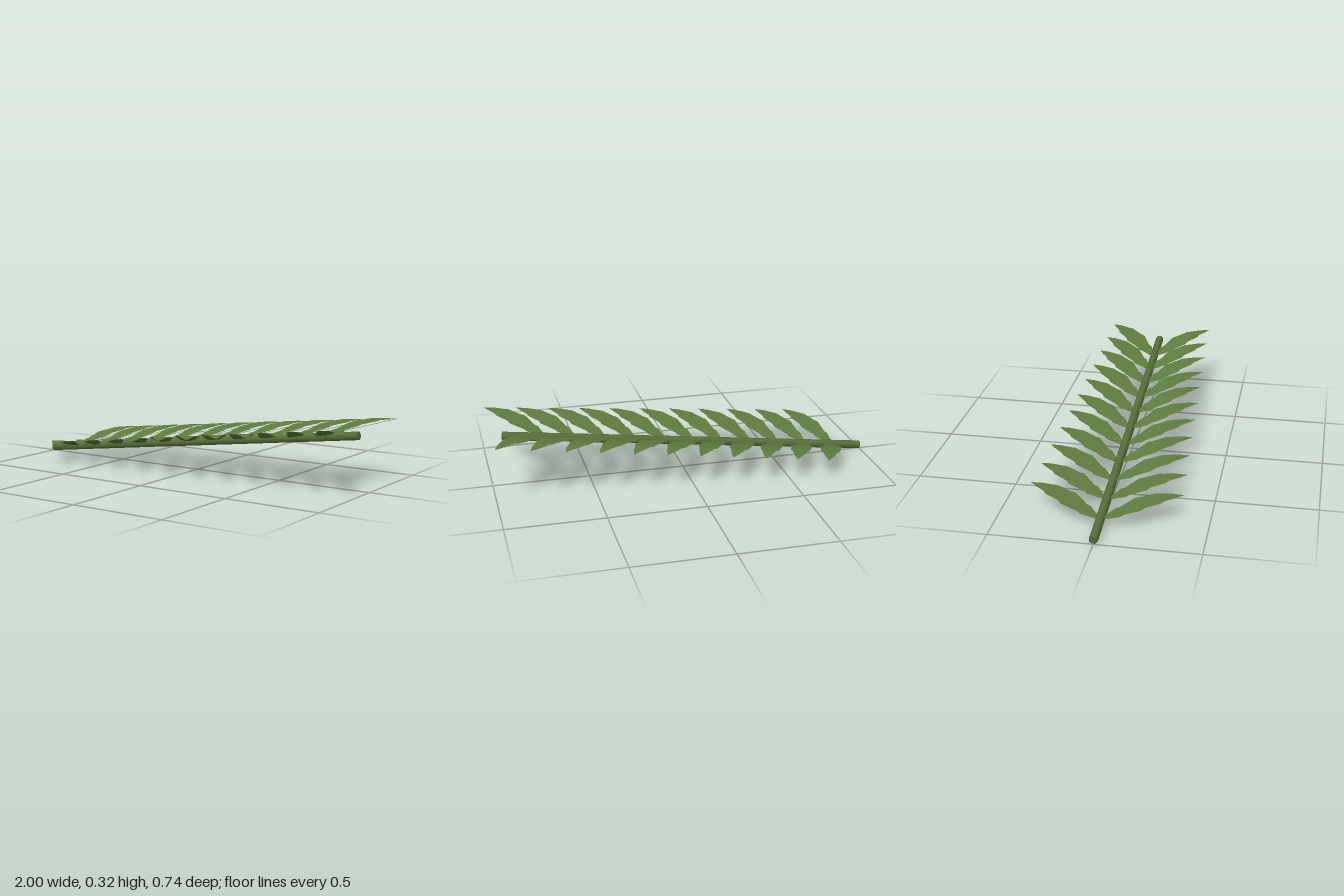
import * as THREE from 'three';

const PAIRS = 11;
const LENGTH = 0.4;

// Blade outline: [fraction along the leaf, half width, height of the arch]
const PROFILE = [
  [0, 0.006, 0], [0.12, 0.027, 0.014], [0.21, 0.044, 0.025], [0.25, 0.039, 0.03],
  [0.45, 0.063, 0.057], [0.5, 0.053, 0.063], [0.69, 0.05, 0.075], [0.74, 0.038, 0.078],
  [0.88, 0.022, 0.079], [1, 0.0005, 0.077],
];

// Arched, toothed blade running along +x
function bladeGeometry() {
  const positions = [];
  const index = [];
  PROFILE.forEach(([t, half, height], i) => {
    positions.push(t * LENGTH, height, -half, t * LENGTH, height, half);
    if (i > 0) {
      const a = (i - 1) * 2;
      index.push(a, a + 1, a + 2, a + 1, a + 3, a + 2);
    }
  });
  const geometry = new THREE.BufferGeometry();
  geometry.setAttribute('position', new THREE.Float32BufferAttribute(positions, 3));
  geometry.setIndex(index);
  geometry.computeVertexNormals();
  return geometry;
}

// Straight rod between two points
function rod(start, end, radius, sides, material) {
  const along = end.clone().sub(start);
  const geometry = new THREE.CylinderGeometry(radius, radius, along.length(), sides, 1, false, Math.PI / sides);
  const mesh = new THREE.Mesh(geometry, material);
  mesh.position.copy(start).add(end).multiplyScalar(0.5);
  mesh.quaternion.setFromUnitVectors(new THREE.Vector3(0, 1, 0), along.normalize());
  return mesh;
}

export function createModel() {
  const leafGreen = new THREE.MeshStandardMaterial({ color: 0x5e7c40, side: THREE.DoubleSide });
  leafGreen.name = 'leaf green';
  const stemGreen = new THREE.MeshStandardMaterial({ color: 0x55703a });
  stemGreen.name = 'stem green';

  const model = new THREE.Group();
  model.name = 'frond';

  // Sloping stem
  const stemStart = new THREE.Vector3(-0.997, 0.0215, 0);
  const stemEnd = new THREE.Vector3(0.937, 0.272, 0);
  const stem = rod(stemStart, stemEnd, 0.0215, 8, stemGreen);
  stem.name = 'stem';
  model.add(stem);

  // Leaf pairs swing forward toward the end of the stem
  const blade = bladeGeometry();
  const lerp = THREE.MathUtils.lerp;
  for (let i = 0; i < PAIRS; i++) {
    const k = i / (PAIRS - 1);
    const baseX = lerp(-0.84, 0.718, k);
    const baseY = lerp(0.042, 0.246, k);
    const reachX = lerp(0.16, 0.28, k);
    const reachZ = lerp(0.37, 0.285, k);
    for (const side of [1, -1]) {
      const leaf = new THREE.Group();
      leaf.name = side > 0 ? 'frontLeaf' : 'backLeaf';
      leaf.position.set(baseX, baseY, 0);
      leaf.rotation.y = -side * Math.atan2(reachZ, reachX);
      leaf.scale.x = Math.hypot(reachX, reachZ) / LENGTH;

      const bladeMesh = new THREE.Mesh(blade, leafGreen);
      bladeMesh.name = 'blade';
      // Straight rib from base to tip under the arch
      const rib = rod(new THREE.Vector3(0, 0, 0), new THREE.Vector3(LENGTH, 0.077, 0), 0.001, 5, leafGreen);
      rib.name = 'rib';
      leaf.add(bladeMesh, rib);
      model.add(leaf);
    }
  }
  return model;
}
